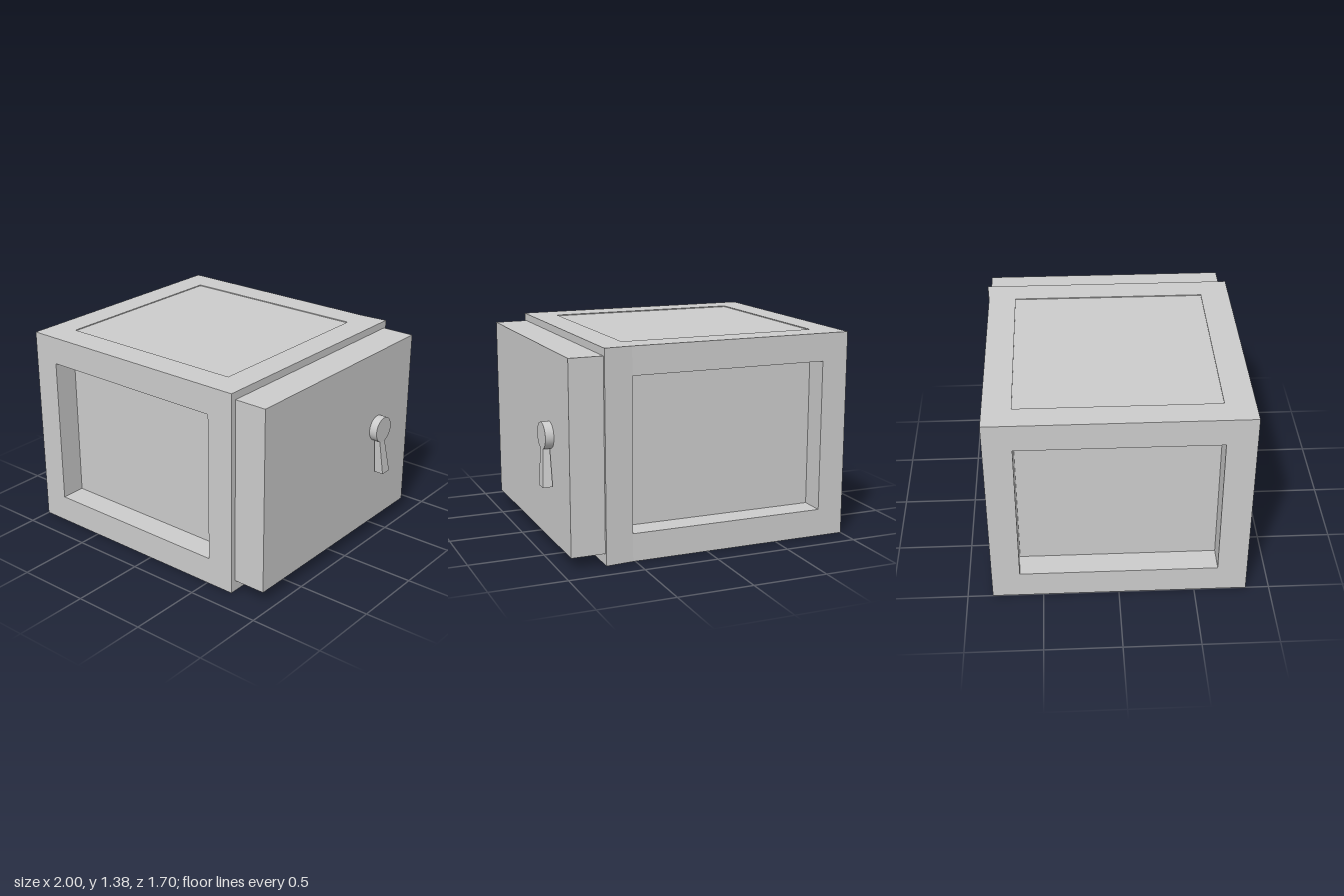
import * as THREE from 'three';

const material = new THREE.MeshStandardMaterial({ color: 0xcccccc, flatShading: true });

export function createModel() {
  const model = new THREE.Group();
  model.name = 'safe';

  function add(name, geometry, parent = model) {
    const mesh = new THREE.Mesh(geometry, material);
    mesh.name = name;
    parent.add(mesh);
    return mesh;
  }

  // Box given by its minimum and maximum on each axis
  function block(name, [x0, x1], [y0, y1], [z0, z1], parent) {
    const geometry = new THREE.BoxGeometry(x1 - x0, y1 - y0, z1 - z0);
    geometry.translate((x0 + x1) / 2, (y0 + y1) / 2, (z0 + z1) / 2);
    return add(name, geometry, parent);
  }

  // Upright prism from a plan outline of [x, z] points
  function prism(name, plan, height, parent) {
    const shape = new THREE.Shape(plan.map(([x, z]) => new THREE.Vector2(x, -z)));
    const geometry = new THREE.ExtrudeGeometry(shape, { depth: height, bevelEnabled: false });
    return add(name, geometry.rotateX(-Math.PI / 2), parent);
  }

  const H = 1.38, L = -1, R = 0.7, B = -0.835, F = 0.845; // outer body
  const l = -0.82, r = 0.515, b = -0.65, f = 0.65;        // frame openings

  // Body core: recessed panels on the sides and bottom, nearly flush top
  block('panels', [-0.83, R], [0.04, H - 0.006], [-0.665, 0.675]);

  // Frame: four posts, the rear door-side one flaring slightly outward
  const frame = new THREE.Group();
  frame.name = 'frame';
  model.add(frame);
  prism('frontLeftPost', [[r, F], [R, F], [R, f], [r, f]], H, frame);
  prism('frontRightPost', [[L, F], [l, F], [l, f], [L, f]], H, frame);
  prism('backRightPost', [[L, b], [l, b], [l, B], [L, B]], H, frame);
  prism('backLeftPost', [[r, b], [R, b], [R, -0.85], [r, B]], H, frame);

  // Rails joining the posts at the bottom and top
  for (const [level, y] of [['bottom', [0, 0.185]], ['top', [1.195, H]]]) {
    block(level + 'FrontRail', [l, r], y, [f, F], frame);
    block(level + 'BackRail', [l, r], y, [B, b], frame);
    block(level + 'SideRail', [L, l], y, [b, f], frame);
    block(level + 'DoorSideRail', [r, R], y, [b, f], frame);
  }

  // Door
  block('door', [R, 0.925], [0.075, 1.33], [-0.83, 0.807]);

  // Handle: round hub and a lever that widens and thickens downwards
  const handle = new THREE.Group();
  handle.name = 'handle';
  model.add(handle);
  const hub = new THREE.CylinderGeometry(0.088, 0.088, 0.057, 40);
  const hubMesh = add('hub', hub.rotateZ(-Math.PI / 2), handle);
  hubMesh.position.set(0.9525, 0.775, -0.437);
  hubMesh.material = new THREE.MeshStandardMaterial({ color: 0xcccccc });

  const lever = new THREE.BoxGeometry(1, 1, 1);
  const p = lever.attributes.position;
  for (let i = 0; i < p.count; i++) {
    const top = p.getY(i) > 0;
    const outer = p.getX(i) > 0;
    const front = p.getZ(i) > 0;
    p.setXYZ(i,
      outer ? (top ? 0.977 : 1.0) : 0.934,
      top ? 0.71 : 0.45,
      top ? (front ? -0.4 : -0.457) : (front ? -0.425 : -0.507));
  }
  lever.computeVertexNormals();
  add('lever', lever, handle);

  return model;
}
